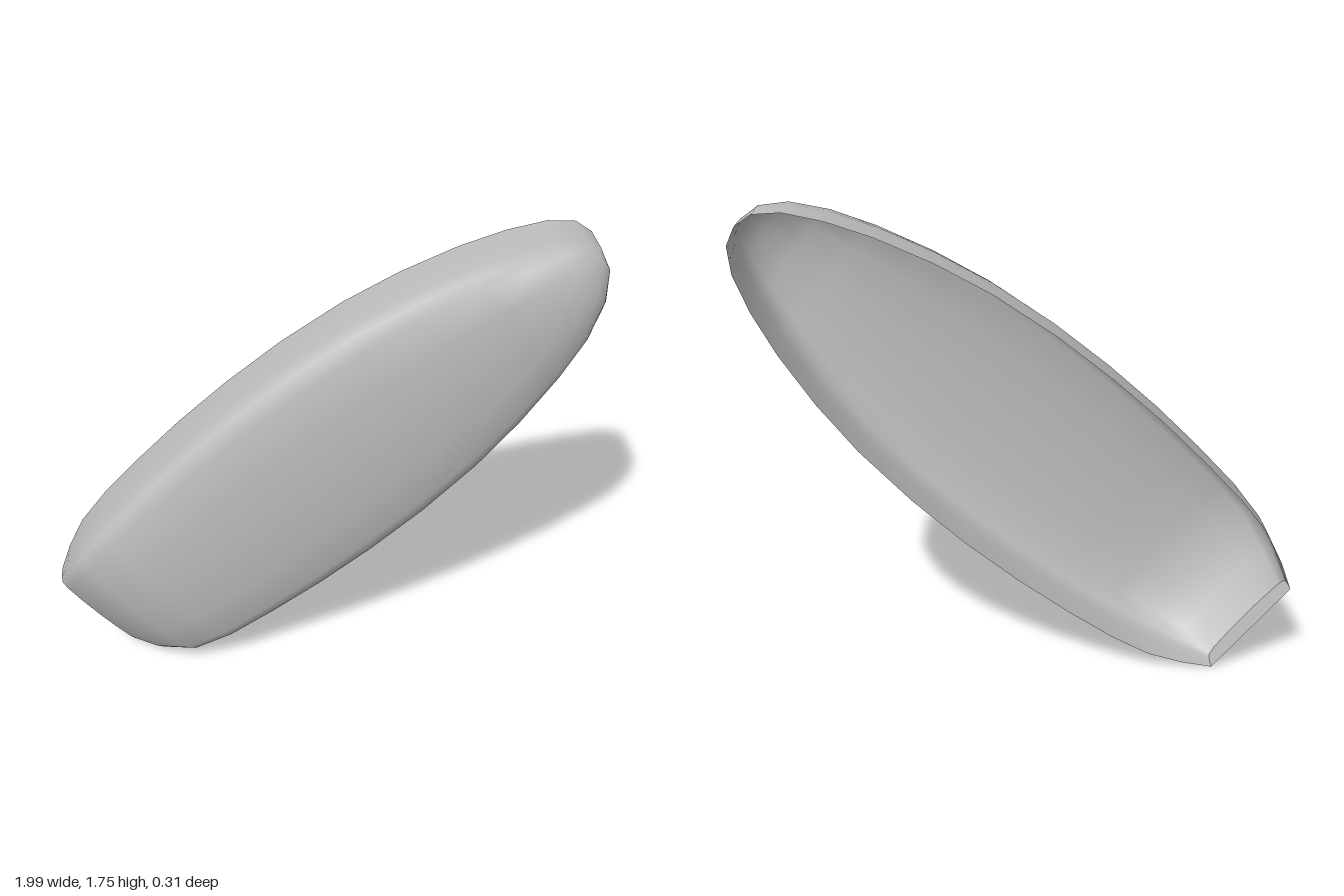
import * as THREE from 'three';

// Hull stations along the keel: distance from stern, half width, keel depth
const STATIONS = [
  [0, 0.216, -0.047], [0.1, 0.273, 0.054], [0.225, 0.327, 0.132], [0.385, 0.361, 0.153],
  [0.589, 0.385, 0.153], [0.815, 0.403, 0.153], [1.055, 0.409, 0.153], [1.311, 0.401, 0.153],
  [1.576, 0.373, 0.153], [1.8, 0.328, 0.153], [2.01, 0.267, 0.153], [2.168, 0.205, 0.153],
  [2.294, 0.138, 0.12], [2.367, 0.069, 0.06], [2.386, 0, -0.02],
];
// Half section from rim to keel: fraction of half width, fraction of depth
const SECTION = [[1, 0], [0.998, 0.3], [0.99, 0.58], [0.955, 0.79], [0.82, 0.9], [0.45, 0.97], [0, 1]];
const RIM = -0.153;
const STERN = new THREE.Vector2(-0.86, 0.165);
const ALONG = new THREE.Vector2(0.762, 0.647); // stern to bow

// Cross-section points from one rim over the keel to the other rim
function sectionPoints([s, w, keel]) {
  const mirrored = SECTION.slice(0, -1).reverse().map(([u, v]) => [-u, v]);
  return [...SECTION, ...mirrored].map(([u, v]) => [
    STERN.x + ALONG.x * s - ALONG.y * u * w,
    STERN.y + ALONG.y * s + ALONG.x * u * w,
    RIM + (keel - RIM) * v,
  ]);
}

function makeGeometry(points, index) {
  const geometry = new THREE.BufferGeometry();
  geometry.setAttribute('position', new THREE.Float32BufferAttribute(points.flat(), 3));
  geometry.setIndex(index);
  geometry.computeVertexNormals();
  return geometry;
}

export function createModel() {
  const group = new THREE.Group();
  group.name = 'boatHull';
  const hullGrey = new THREE.MeshStandardMaterial({ color: 0xbcbcbc, side: THREE.DoubleSide });
  hullGrey.name = 'hull grey';

  // Open shell lofted through the stations
  const rings = STATIONS.map(sectionPoints);
  const n = rings[0].length;
  const index = [];
  for (let i = 0; i < rings.length - 1; i++) {
    for (let j = 0; j < n - 1; j++) {
      const a = i * n + j, b = a + n;
      index.push(a, a + 1, b);
      if (i < rings.length - 2) index.push(b, a + 1, b + 1);
      else index.push(b, a + 1, b + 1);
    }
  }
  const shell = new THREE.Mesh(makeGeometry(rings.flat(), index), hullGrey);
  shell.name = 'hullShell';

  // Flat transom closing the stern
  const fan = [];
  for (let j = 1; j < n - 1; j++) fan.push(0, j + 1, j);
  const transom = new THREE.Mesh(makeGeometry(rings[0], fan), hullGrey);
  transom.name = 'transom';

  group.add(shell, transom);
  return group;
}
